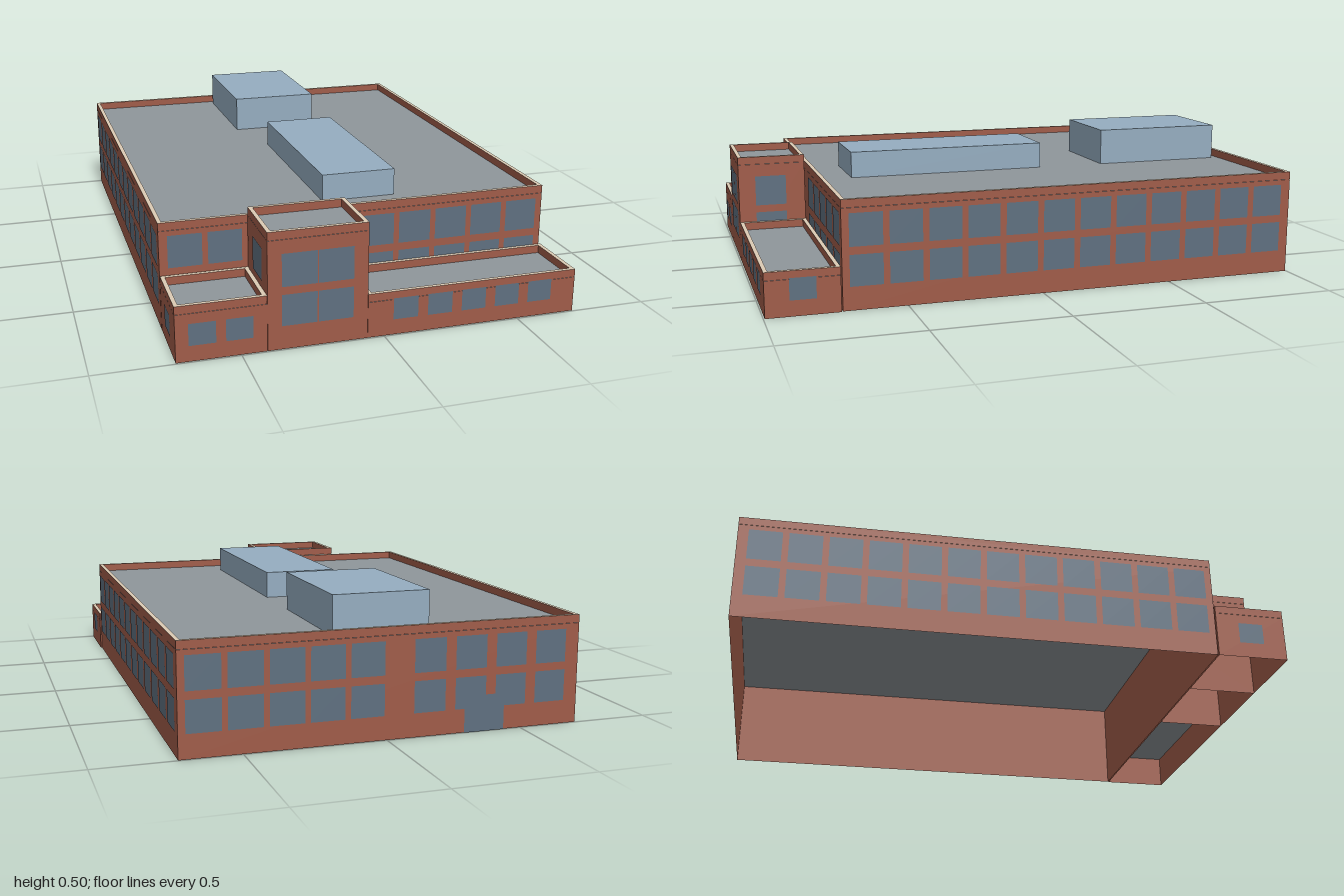
import * as THREE from 'three';

const mat = (color, side = THREE.FrontSide) =>
  new THREE.MeshStandardMaterial({ color, side });

const brick = mat(0xa05c49, THREE.DoubleSide);
const glass = mat(0x5f7080);
const deckGrey = mat(0x8f969b, THREE.DoubleSide);
const coping = mat(0xdccbb4);
const unitBlue = mat(0x95adc0);

const PARAPET = 0.03; // parapet height above the roof deck
const THICK = 0.015;  // parapet thickness

function add(parent, name, geometry, material) {
  const mesh = new THREE.Mesh(geometry, material);
  mesh.name = name;
  parent.add(mesh);
  return mesh;
}

function rect(PathType, x0, x1, z0, z1) {
  return new PathType([[x0, -z0], [x1, -z0], [x1, -z1], [x0, -z1]]
    .map(([x, y]) => new THREE.Vector2(x, y)));
}

// Block open underneath: four walls, a roof deck and a parapet ring
function block(name, x0, x1, z0, z1, top) {
  const g = new THREE.Group();
  g.name = name;
  const h = top - PARAPET, w = x1 - x0, d = z1 - z0;
  const cx = (x0 + x1) / 2, cz = (z0 + z1) / 2;

  const walls = [
    ['frontWall', w, cx, z1, 0],
    ['backWall', w, cx, z0, Math.PI],
    ['leftWall', d, x1, cz, Math.PI / 2],
    ['rightWall', d, x0, cz, -Math.PI / 2],
  ];
  for (const [wallName, len, x, z, turn] of walls) {
    const wall = add(g, wallName, new THREE.PlaneGeometry(len, h), brick);
    wall.position.set(x, h / 2, z);
    wall.rotation.y = turn;
  }

  const deck = add(g, 'roofDeck', new THREE.PlaneGeometry(w, d), deckGrey);
  deck.rotation.x = -Math.PI / 2;
  deck.position.set(cx, h, cz);

  const ring = rect(THREE.Shape, x0, x1, z0, z1);
  ring.holes.push(rect(THREE.Path, x0 + THICK, x1 - THICK, z0 + THICK, z1 - THICK));
  const parapet = add(g, 'parapet',
    new THREE.ExtrudeGeometry(ring, { depth: PARAPET - 0.001, bevelEnabled: false }),
    [coping, brick]);
  parapet.rotation.x = -Math.PI / 2;
  parapet.position.y = h + 0.001;
  return g;
}

// Panes on one wall; face is the outward direction, at the wall's coordinate
function panes(parent, name, face, at, centres, width, rows) {
  const turn = { front: 0, back: Math.PI, left: Math.PI / 2, right: -Math.PI / 2 }[face];
  const out = at + (face === 'front' || face === 'left' ? 0.002 : -0.002);
  for (const [y0, y1] of rows) {
    for (const c of centres) {
      const pane = add(parent, name, new THREE.PlaneGeometry(width, y1 - y0), glass);
      pane.rotation.y = turn;
      const y = (y0 + y1) / 2;
      if (face === 'front' || face === 'back') pane.position.set(c, y, out);
      else pane.position.set(out, y, c);
    }
  }
}

const series = (start, step, n) => Array.from({ length: n }, (_, i) => start + i * step);

function roofUnit(parent, name, x0, x1, z0, z1, y0, y1) {
  const unit = add(parent, name, new THREE.BoxGeometry(x1 - x0, y1 - y0, z1 - z0), unitBlue);
  unit.position.set((x0 + x1) / 2, (y0 + y1) / 2, (z0 + z1) / 2);
}

export function createModel() {
  const model = new THREE.Group();
  model.name = 'building';
  const L = -0.72, R = 0.715, BACK = -0.997, MID = 0.73, W0 = 0.735, FRONT = 0.995;
  const rows = [[0.085, 0.197], [0.225, 0.342]];
  const lowRow = [[0.057, 0.135]];

  // Main hall with two rows of windows
  const main = block('mainHall', L, R, BACK, MID, 0.39);
  panes(main, 'frontWindow', 'front', MID, [-0.63, -0.49, ...series(0.07, 0.14, 5)], 0.12, rows);
  const sideColumns = series(0.645, -0.1405, 12);
  panes(main, 'leftWindow', 'left', R, sideColumns, 0.118, rows);
  panes(main, 'rightWindow', 'right', L, sideColumns, 0.118, rows);
  panes(main, 'backWindow', 'back', BACK, series(0.63, -0.14, 5), 0.12, rows);
  panes(main, 'backWindow', 'back', BACK, series(-0.155, -0.152, 4), 0.115, rows);
  panes(main, 'backDoor', 'back', BACK - 0.001, [-0.36], 0.15, [[0, 0.13]]);

  // Entrance tower
  const tower = block('entranceTower', -0.41, -0.06, W0, FRONT, 0.42);
  panes(tower, 'towerWindow', 'front', FRONT, [-0.3, -0.173], 0.123, rows);
  panes(tower, 'towerSideWindow', 'left', -0.06, [0.87], 0.12, rows);
  panes(tower, 'towerSideWindow', 'right', -0.41, [0.87], 0.12, [rows[1]]);

  // Low wings either side of the tower
  const rightWing = block('rightWing', L, -0.411, W0, FRONT, 0.2);
  panes(rightWing, 'wingWindow', 'front', FRONT, [-0.63, -0.505], 0.092, lowRow);
  panes(rightWing, 'wingSideWindow', 'right', L, [0.865], 0.092, lowRow);
  const leftWing = block('leftWing', -0.059, 0.72, W0, FRONT, 0.16);
  panes(leftWing, 'wingWindow', 'front', FRONT, series(0.078, 0.126, 5), 0.09, lowRow);
  panes(leftWing, 'wingSideWindow', 'left', 0.72, [0.865], 0.092, lowRow);

  // Rooftop plant rooms
  roofUnit(main, 'longRoofUnit', -0.095, 0.182, -0.18, 0.59, 0.361, 0.46);
  roofUnit(main, 'tallRoofUnit', -0.165, 0.182, -0.955, -0.445, 0.361, 0.5);

  model.add(main, tower, rightWing, leftWing);
  return model;
}
